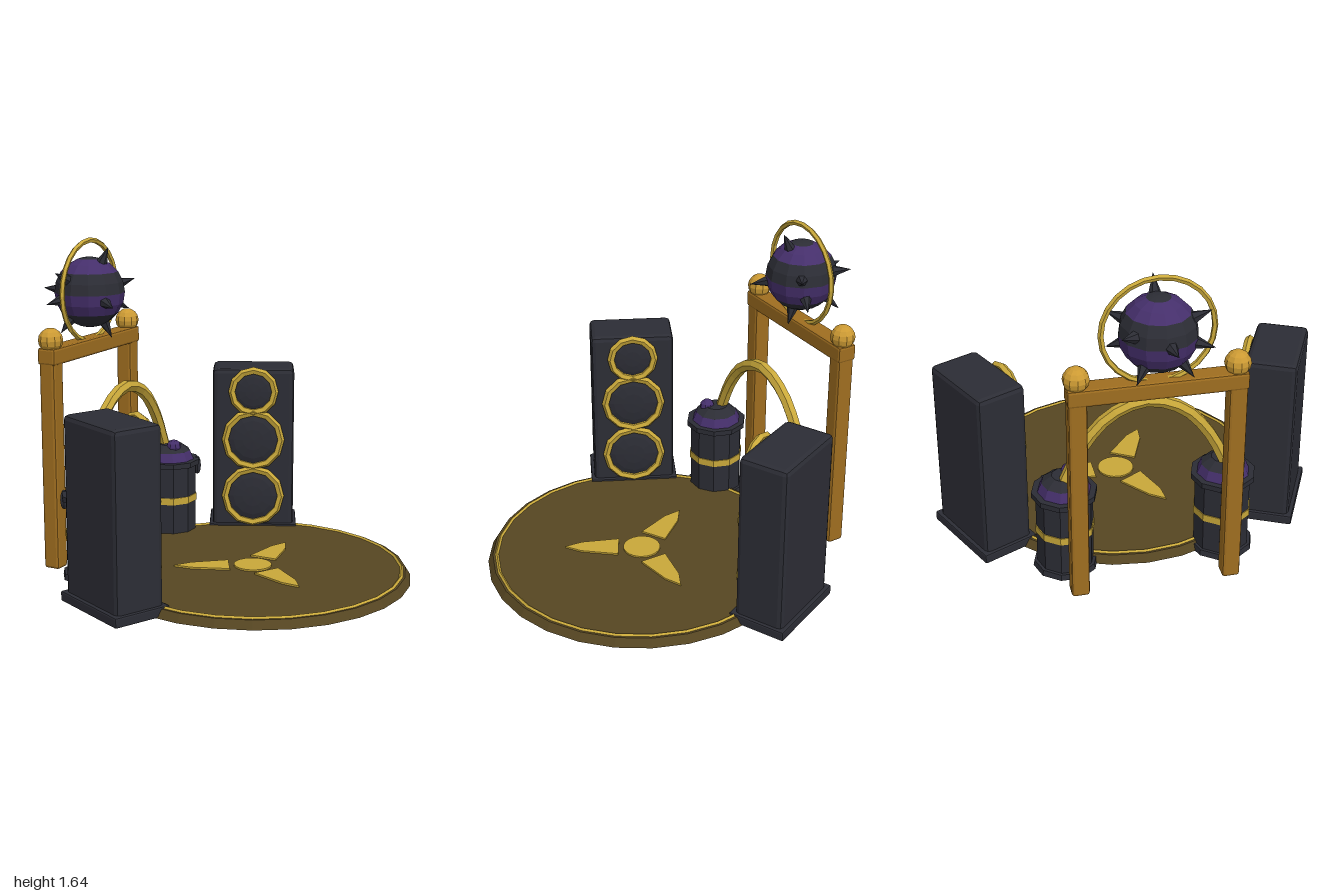
import * as THREE from 'three';
import { RoundedBoxGeometry } from 'three/addons/geometries/RoundedBoxGeometry.js';

const mat = (name, color) => {
  const m = new THREE.MeshStandardMaterial({ color });
  m.name = name;
  return m;
};

export function createModel() {
  const dark = mat('charcoal', 0x2c2d35);
  const purple = mat('purple', 0x452f6b);
  const gold = mat('gold', 0xc9a83a);
  const amber = mat('amber', 0xcc9a33);
  const bronze = mat('bronze', 0x9f6e20);
  const olive = mat('olive', 0x564622);

  const root = new THREE.Group();
  root.name = 'stage';

  // Faceted mesh: every face gets its own normal
  const add = (parent, name, geo, material, x = 0, y = 0, z = 0) => {
    const g = geo.index ? geo.toNonIndexed() : geo;
    g.computeVertexNormals();
    const mesh = new THREE.Mesh(g, material);
    mesh.name = name;
    mesh.position.set(x, y, z);
    parent.add(mesh);
    return mesh;
  };
  const group = (name, x, y, z) => {
    const g = new THREE.Group();
    g.name = name;
    g.position.set(x, y, z);
    root.add(g);
    return g;
  };
  const chamferBox = (w, h, d, c) => new RoundedBoxGeometry(w, h, d, 1, c);

  // Round floor with gold trim and three-bladed emblem
  const floor = group('floor', 0.2, 0, 0);
  add(floor, 'floorDisc', new THREE.CylinderGeometry(0.765, 0.79, 0.04, 28), olive, 0, 0.02, 0);
  const trim = new THREE.TorusGeometry(0.745, 0.011, 4, 28).rotateX(Math.PI / 2);
  add(floor, 'floorTrim', trim, gold, 0, 0.038, 0);
  add(floor, 'emblemHub', new THREE.CylinderGeometry(0.095, 0.095, 0.009, 20), gold, 0, 0.044, 0);
  const blade = new THREE.Shape();
  blade.moveTo(-0.07, 0.12);
  blade.lineTo(0.07, 0.12);
  blade.lineTo(0.04, 0.31);
  blade.lineTo(0, 0.395);
  blade.lineTo(-0.04, 0.31);
  blade.closePath();
  for (let i = 0; i < 3; i++) {
    const g = new THREE.ExtrudeGeometry(blade, { depth: 0.009, bevelEnabled: false });
    g.rotateZ((i * Math.PI * 2) / 3).rotateX(-Math.PI / 2);
    add(floor, 'emblemBlade', g, gold, 0, 0.04, 0);
  }

  // Two speaker towers turned towards the floor centre
  for (const s of [-1, 1]) {
    const tower = group(s < 0 ? 'backSpeaker' : 'frontSpeaker', -0.16, 0, s * 0.745);
    tower.rotation.y = s < 0 ? 0.445 : Math.PI - 0.445;
    add(tower, 'plinth', chamferBox(0.475, 0.05, 0.3, 0.008), dark, 0, 0.025, 0);
    add(tower, 'cabinet', chamferBox(0.44, 0.89, 0.26, 0.025), dark, 0, 0.465, 0);
    for (const [y, r] of [[0.21, 0.15], [0.525, 0.15], [0.79, 0.115]]) {
      add(tower, 'speakerRing', new THREE.TorusGeometry(r, 0.02, 5, 12), gold, 0, y, 0.145);
      const cone = new THREE.SphereGeometry(r, 12, 4, 0, Math.PI * 2, 0, Math.PI / 2);
      cone.scale(1, 0.2, 1).rotateX(Math.PI / 2);
      add(tower, 'speakerCone', cone, dark, 0, y, 0.13);
    }
  }

  // Two barrels with purple sludge on top
  for (const s of [-1, 1]) {
    const barrel = group(s < 0 ? 'backBarrel' : 'frontBarrel', -0.49, 0, s * 0.392);
    const ring = (name, rTop, rBottom, y0, y1, m) =>
      add(barrel, name, new THREE.CylinderGeometry(rTop, rBottom, y1 - y0, 10), m, 0, (y0 + y1) / 2, 0);
    ring('barrelFoot', 0.155, 0.16, 0, 0.03, dark);
    ring('barrelBody', 0.14, 0.14, 0.02, 0.42, dark);
    ring('barrelBand', 0.145, 0.145, 0.2, 0.237, gold);
    ring('barrelRim', 0.16, 0.16, 0.4, 0.428, dark);
    ring('sludge', 0.11, 0.13, 0.428, 0.475, purple);
    ring('lidTop', 0.06, 0.11, 0.475, 0.51, dark);
    add(barrel, 'bubble', new THREE.SphereGeometry(0.04, 8, 6), purple, 0.04, 0.5, 0.03);
    const drip = new THREE.SphereGeometry(0.022, 6, 6).scale(1, 2.3, 1);
    const [dx, dz] = s < 0 ? [0.125, -0.08] : [-0.145, 0.04];
    add(barrel, 'drip', drip, dark, dx, 0.385, dz);
  }

  // Gold pipe arching from barrel to barrel
  const half = [[0.405, 0.47], [0.305, 0.68], [0.175, 0.83]];
  const path = [
    ...half.map(([z, y]) => new THREE.Vector3(-0.525, y, z)),
    new THREE.Vector3(-0.525, 0.893, 0),
    ...half.map(([z, y]) => new THREE.Vector3(-0.525, y, -z)).reverse(),
  ];
  const pipe = new THREE.TubeGeometry(new THREE.CatmullRomCurve3(path), 16, 0.031, 6);
  add(root, 'pipeArch', pipe, gold);

  // Gate of posts and beam with ball finials
  const gate = group('gate', -0.735, 0, 0);
  for (const s of [-1, 1]) {
    add(gate, 'post', chamferBox(0.088, 1.1, 0.088, 0.015), bronze, 0, 0.55, s * 0.368);
    add(gate, 'finial', new THREE.SphereGeometry(0.062, 10, 8), amber, 0, 1.17, s * 0.368);
  }
  add(gate, 'beam', chamferBox(0.1, 0.085, 0.83, 0.012), bronze, 0, 1.092, 0);

  // Striped spiked ball inside an upright hoop
  const ball = group('spikedBall', -0.735, 1.365, 0);
  const step = Math.PI / 10;
  for (let i = 0; i < 6; i++) {
    const start = Math.max(0, 2 * i - 1);
    const rows = i === 0 || i === 5 ? 1 : 2;
    const band = new THREE.SphereGeometry(0.18, 12, rows, 0, Math.PI * 2, start * step, rows * step);
    add(ball, 'ballBand', band, i % 2 ? purple : dark);
  }
  const spikes = [
    [-0.26, 0.01, 0.03], [0.11, 0.225, 0], [0.2, -0.05, 0.12], [0.09, -0.21, -0.04],
    [-0.08, -0.19, 0.14], [0.1, -0.1, -0.205], [-0.06, 0.12, 0.235], [-0.145, 0.06, -0.18],
    [0.13, 0.05, -0.19], [-0.1, -0.04, 0.21], [-0.14, -0.16, -0.12],
  ];
  for (const p of spikes) {
    const dir = new THREE.Vector3(...p).normalize();
    const cone = new THREE.ConeGeometry(0.032, 0.1, 6).translate(0, 0.212, 0);
    const spike = add(ball, 'spike', cone, dark);
    spike.quaternion.setFromUnitVectors(new THREE.Vector3(0, 1, 0), dir);
  }
  const hoop = new THREE.TorusGeometry(0.256, 0.014, 5, 24).rotateY(Math.PI / 2);
  add(ball, 'hoop', hoop, gold, 0, 0.008, 0);

  return root;
}
